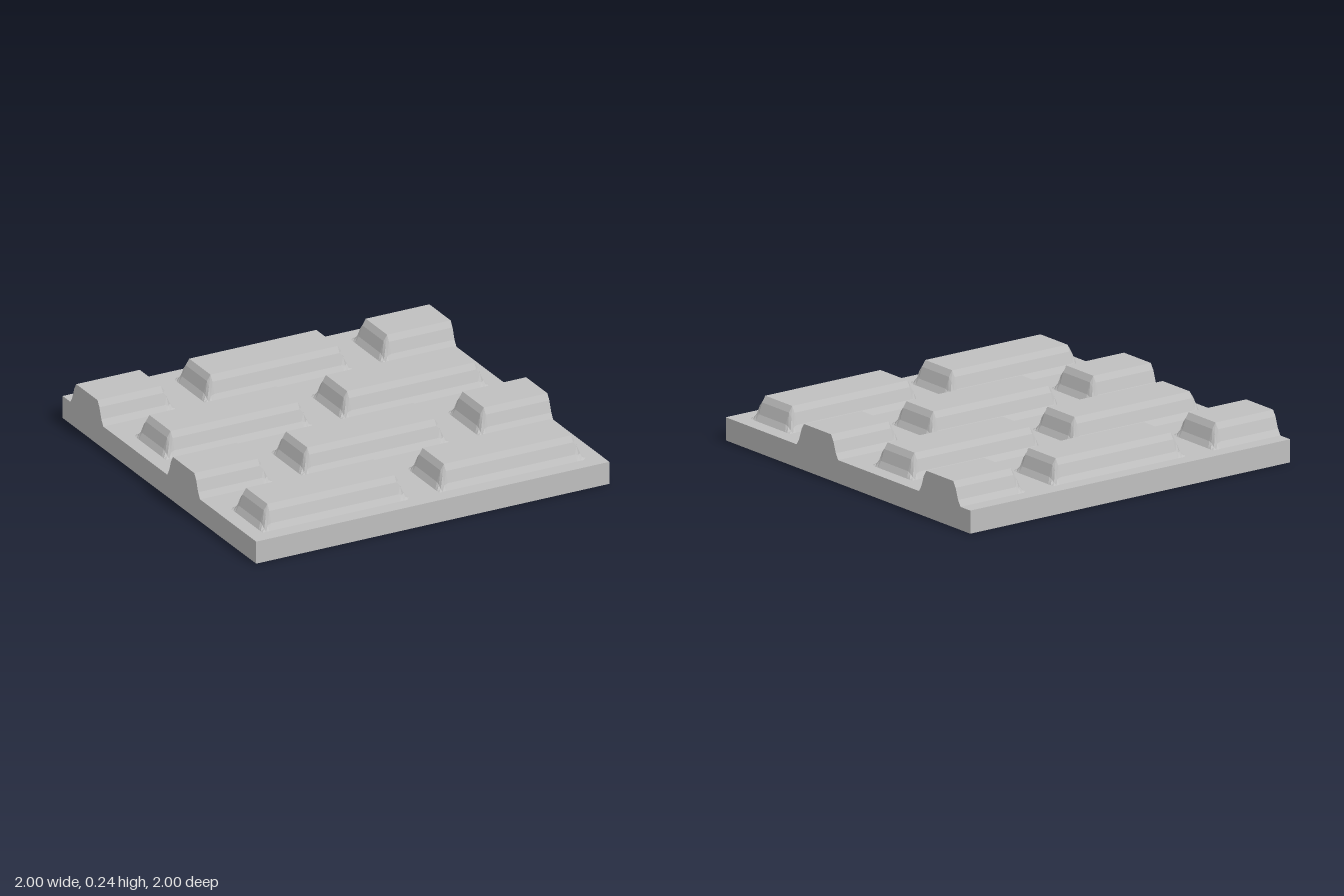
import * as THREE from 'three';

const BASE = 0.12, RISE = 0.12, HALF_X = 0.42, HALF_Z = 0.17;
const INSETS = [0, 0.02, 0.04, 0.06];

// S-shaped slope: 0 at the foot of a brick, 1 on its flat top
const slope = (inset) => THREE.MathUtils.smoothstep(inset, 0, 0.06);

// Grid lines across a brick of the given half size
const gridLines = (half) => [
  ...INSETS.map((i) => i - half),
  ...[...INSETS].reverse().map((i) => half - i),
];

// Relief surface of one brick, trimmed where it runs over the tile edge
function brickGeometry(cx, cz) {
  const clamped = gridLines(HALF_X).map((x) => THREE.MathUtils.clamp(cx + x, -1, 1));
  const xs = [...new Set(clamped)];
  const zs = gridLines(HALF_Z);
  const pos = [], index = [];
  xs.forEach((x) => zs.forEach((z) => {
    const h = slope(HALF_X - Math.abs(x - cx)) * slope(HALF_Z - Math.abs(z));
    pos.push(x, BASE + RISE * h, cz + z);
  }));
  const n = zs.length;
  for (let i = 0; i < xs.length - 1; i++) {
    for (let j = 0; j < n - 1; j++) {
      const a = i * n + j, b = a + 1, d = a + n, c = d + 1;
      index.push(a, b, d, b, c, d);
    }
  }
  const geo = new THREE.BufferGeometry();
  geo.setAttribute('position', new THREE.Float32BufferAttribute(pos, 3));
  geo.setIndex(index);
  geo.computeVertexNormals();
  return geo;
}

// Flat cut end of a brick at the tile edge
function cutEndGeometry() {
  const pts = gridLines(HALF_Z).map(
    (z) => new THREE.Vector2(z, RISE * slope(HALF_Z - Math.abs(z))));
  return new THREE.ShapeGeometry(new THREE.Shape(pts));
}

export function createModel() {
  const model = new THREE.Group();
  model.name = 'brickTile';
  const stone = new THREE.MeshStandardMaterial({ color: 0xbfbfbf, flatShading: true });
  stone.name = 'grey stone';

  const add = (geo, name, parent = model) => {
    const mesh = new THREE.Mesh(geo, stone);
    mesh.name = name;
    parent.add(mesh);
    return mesh;
  };

  // Base slab
  add(new THREE.BoxGeometry(2, BASE, 2).translate(0, BASE / 2, 0), 'baseSlab');

  // Four courses in running bond
  [-0.75, -0.25, 0.25, 0.75].forEach((z, row) => {
    const course = new THREE.Group();
    course.name = `course${row + 1}`;
    model.add(course);
    const centres = row % 2 ? [-0.5, 0.5] : [-1, 0, 1];
    centres.forEach((x) => {
      const half = Math.abs(x) === 1;
      add(brickGeometry(x, z), half ? 'halfBrick' : 'brick', course);
      if (half) {
        const end = add(cutEndGeometry(), 'cutEnd', course);
        end.position.set(x, BASE, z);
        end.rotation.y = x * Math.PI / 2;
      }
    });
  });
  return model;
}
